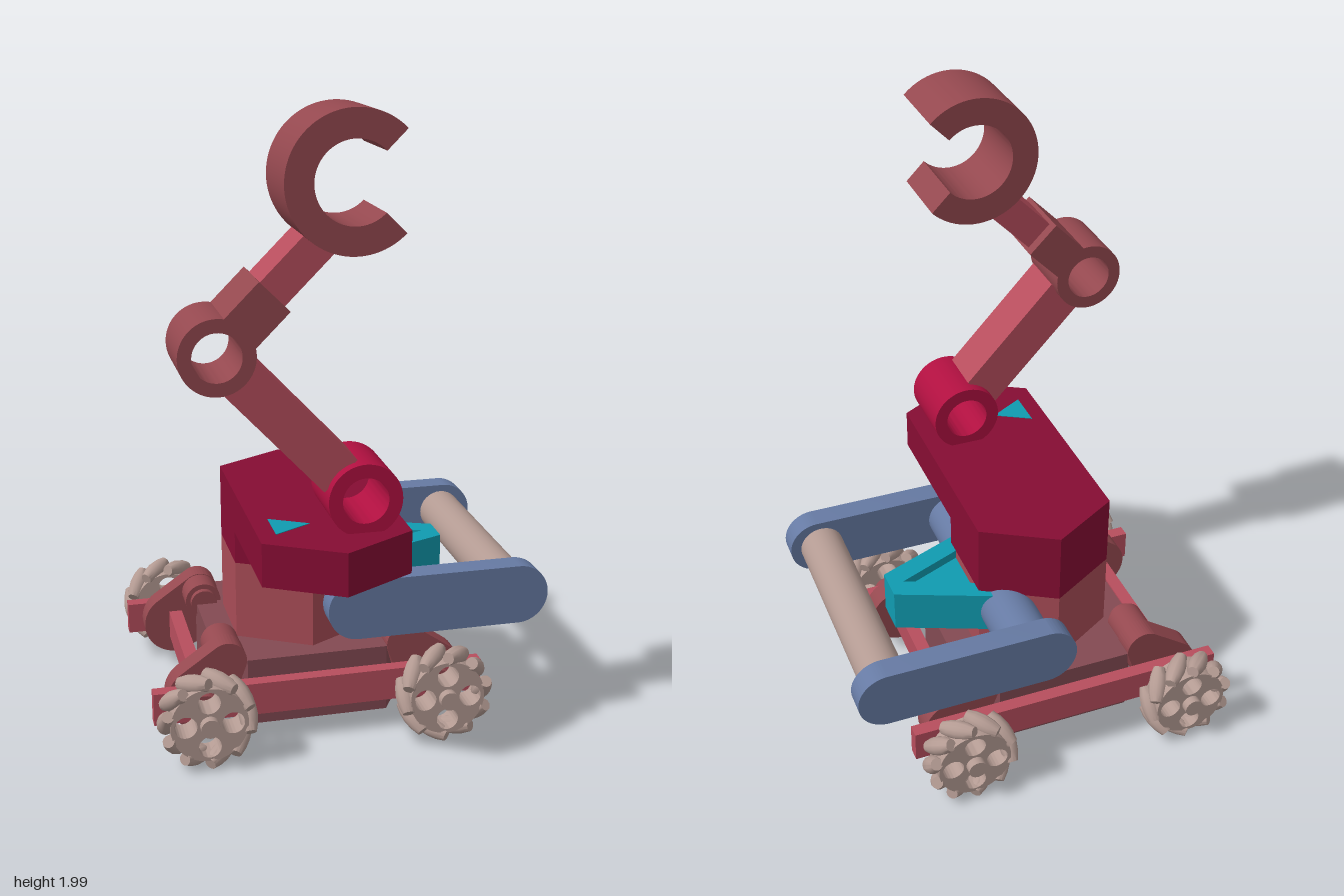
import * as THREE from 'three';
import { toCreasedNormals } from 'three/addons/utils/BufferGeometryUtils.js';

const mat = (color) => new THREE.MeshStandardMaterial({ color });
const M = {
  head: mat(0x860d33), ring: mat(0xb01040), rail: mat(0xb74e5d), column: mat(0xa84c56),
  joint: mat(0x94484f), base: mat(0x834a52), blue: mat(0x667aa3), pale: mat(0xb39a92), teal: mat(0x109bb0),
};
const CX = -0.098, CZ = -0.1; // centre of the wheeled chassis

export function createModel() {
  const model = new THREE.Group();
  const add = (name, geo, material, parent = model) => {
    const mesh = new THREE.Mesh(geo, material);
    mesh.name = name;
    parent.add(mesh);
    return mesh;
  };
  const extrude = (shape, depth) => toCreasedNormals(
    new THREE.ExtrudeGeometry(shape, { depth, bevelEnabled: false, curveSegments: 32 }), 0.5);
  // Shape in the x-y plane, extruded from z0 to z1
  const plate = (shape, z0, z1) => extrude(shape, z1 - z0).translate(0, 0, z0);
  // Outline of [x, z] points, raised from y0 to y1
  const outline = (pts) => new THREE.Shape(pts.map(([x, z]) => new THREE.Vector2(x, -z)));
  const prism = (shape, y0, y1) => extrude(shape, y1 - y0).rotateX(-Math.PI / 2).translate(0, y0, 0);
  const box = (x0, x1, y0, y1, z0, z1) => new THREE.BoxGeometry(x1 - x0, y1 - y0, z1 - z0)
    .translate((x0 + x1) / 2, (y0 + y1) / 2, (z0 + z1) / 2);
  const rod = (x, y, r, z0, z1) => new THREE.CylinderGeometry(r, r, Math.abs(z1 - z0), 32)
    .rotateX(Math.PI / 2).translate(x, y, (z0 + z1) / 2);
  const circle = (x, y, r) => new THREE.Shape().absarc(x, y, r, 0, Math.PI * 2);
  const ring = (x, y, outer, inner) => {
    const s = circle(x, y, outer);
    s.holes.push(circle(x, y, inner));
    return s;
  };
  // Outline around two circles of different radius
  const link = (x0, y0, r0, x1, y1, r1) => {
    const a = Math.atan2(y1 - y0, x1 - x0);
    const b = Math.acos((r0 - r1) / Math.hypot(x1 - x0, y1 - y0));
    return new THREE.Shape()
      .absarc(x0, y0, r0, a + b, a - b + Math.PI * 2)
      .absarc(x1, y1, r1, a - b, a + b);
  };
  // Bar running from one x-y point to another
  const bar = (x0, y0, x1, y1, width, z0, z1) => new THREE.BoxGeometry(Math.hypot(x1 - x0, y1 - y0), width, z1 - z0)
    .rotateZ(Math.atan2(y1 - y0, x1 - x0)).translate((x0 + x1) / 2, (y0 + y1) / 2, (z0 + z1) / 2);

  // Octagonal base and hexagonal body
  const oct = [[-0.226, 0.325], [0.226, 0.325], [0.315, 0.17], [0.315, -0.17],
    [0.226, -0.325], [-0.226, -0.325], [-0.315, -0.17], [-0.315, 0.17]];
  add('base', prism(outline(oct.map(([x, z]) => [x + CX, z + CZ])), 0.055, 0.275), M.base);
  const hexagon = (front) => outline([[-0.1, front + 0.13], [0.127, front], [0.127, -0.23],
    [-0.1, -0.36], [-0.325, -0.23], [-0.325, front]]);
  add('column', prism(hexagon(0.035), 0.27, 0.53), M.column);
  add('neck', prism(hexagon(0.035), 0.53, 0.635), M.head);
  add('head', prism(hexagon(0.49), 0.635, 0.77), M.head);
  add('headArrow', prism(outline([[-0.27, 0.3], [-0.27, 0.43], [-0.155, 0.365]]), 0.769, 0.772), M.teal);

  // Frame rails
  for (const s of [-1, 1]) {
    const z = CZ + s * 0.348, x = CX + s * 0.375;
    add('crossRail', box(-0.628, 0.432, 0.11, 0.215, z - 0.022, z + 0.022), M.rail);
    add('sideRail', box(x - 0.022, x + 0.022, 0.115, 0.21, -0.43, 0.23), M.rail);
  }

  // Wheels: pierced hub with slanted barrel rollers
  const hub = circle(0, 0, 0.12);
  for (let i = 0; i < 4; i++) {
    const a = i * Math.PI / 2;
    hub.holes.push(circle(0.073 * Math.cos(a), 0.073 * Math.sin(a), 0.035));
  }
  const hubGeo = plate(hub, -0.046, 0.046);
  const rollerGeo = new THREE.LatheGeometry([[0, -0.058], [0.019, -0.058], [0.027, -0.03], [0.03, 0],
    [0.027, 0.03], [0.019, 0.058], [0, 0.058]].map((p) => new THREE.Vector2(...p)), 14);
  const makeWheel = (x, z, slant) => {
    const wheel = new THREE.Group();
    wheel.name = 'wheel';
    wheel.position.set(x, 0.162, z);
    add('hub', hubGeo, M.pale, wheel);
    for (let i = 0; i < 10; i++) {
      const spoke = new THREE.Group();
      spoke.name = 'rollerSpoke';
      spoke.rotation.z = i * Math.PI / 5;
      const roller = add('roller', toCreasedNormals(rollerGeo, 0.6), M.pale, spoke);
      roller.position.x = 0.126;
      roller.rotation.x = slant * Math.PI / 4;
      wheel.add(spoke);
    }
    model.add(wheel);
  };

  // Wheel, axle, gear case and motor at each corner
  for (const sx of [-1, 1]) for (const sz of [-1, 1]) {
    const x = CX + sx * 0.377, mx = CX + sx * 0.29;
    const at = (d) => CZ + sz * d;
    makeWheel(x, at(0.457), sx * sz);
    add('axle', rod(x, 0.162, 0.03, at(0.35), at(0.53)), M.pale);
    add('axleCollar', rod(x, 0.162, 0.05, at(0.32), at(0.408)), M.joint);
    add('gearCase', plate(link(x, 0.165, 0.105, mx, 0.278, 0.062),
      Math.min(at(0.25), at(0.325)), Math.max(at(0.25), at(0.325))), M.joint);
    add('motor', rod(mx, 0.278, 0.06, at(0.16), at(0.26)), M.joint);
    add('motorCap', rod(mx, 0.278, 0.044, at(0.138), at(0.17)), M.joint);
  }

  // Side bumper: two arms, mounting shaft and outer roller
  for (const [z0, z1] of [[0.26, 0.337], [-0.532, -0.455]]) {
    add('bumperArm', plate(link(0.007, 0.46, 0.096, 0.529, 0.46, 0.096), z0, z1), M.blue);
  }
  add('bumperShaft', rod(0.045, 0.46, 0.085, -0.46, 0.265), M.blue);
  add('bumperRoller', rod(0.517, 0.46, 0.073, -0.46, 0.265), M.pale);

  // Tapered side block with a triangular recess
  const wedge = [[0.07, 0.082], [0.127, 0.06], [0.388, -0.045], [0.388, -0.152], [0.07, -0.282]];
  const wedgeTop = outline(wedge);
  wedgeTop.holes.push(outline([[0.1, 0], [0.34, -0.1], [0.1, -0.2]]));
  add('sideBlockRim', prism(wedgeTop, 0.5, 0.53), M.teal);
  add('sideBlock', prism(outline(wedge), 0.39, 0.5), M.teal);

  // Jointed arm and open claw
  const z0 = 0.245, z1 = 0.475;
  add('shoulderRing', plate(ring(-0.01, 0.868, 0.112, 0.07), z0, z1), M.ring);
  add('lowerArm', bar(-0.077, 0.938, -0.373, 1.255, 0.135, 0.28, 0.44), M.rail);
  add('elbowRing', plate(ring(-0.44, 1.323, 0.112, 0.072), z0, z1), M.joint);
  add('elbowSleeve', bar(-0.377, 1.386, -0.275, 1.488, 0.125, z0, z1), M.joint);
  add('upperArm', bar(-0.3, 1.463, -0.115, 1.648, 0.1, 0.28, 0.44), M.rail);
  const open = Math.PI / 4;
  const claw = new THREE.Shape()
    .absarc(-0.045, 1.796, 0.204, open, Math.PI * 2 - open)
    .absarc(-0.045, 1.796, 0.12, -open, open, true);
  add('claw', plate(claw, 0.235, 0.485), M.joint);

  return model;
}
